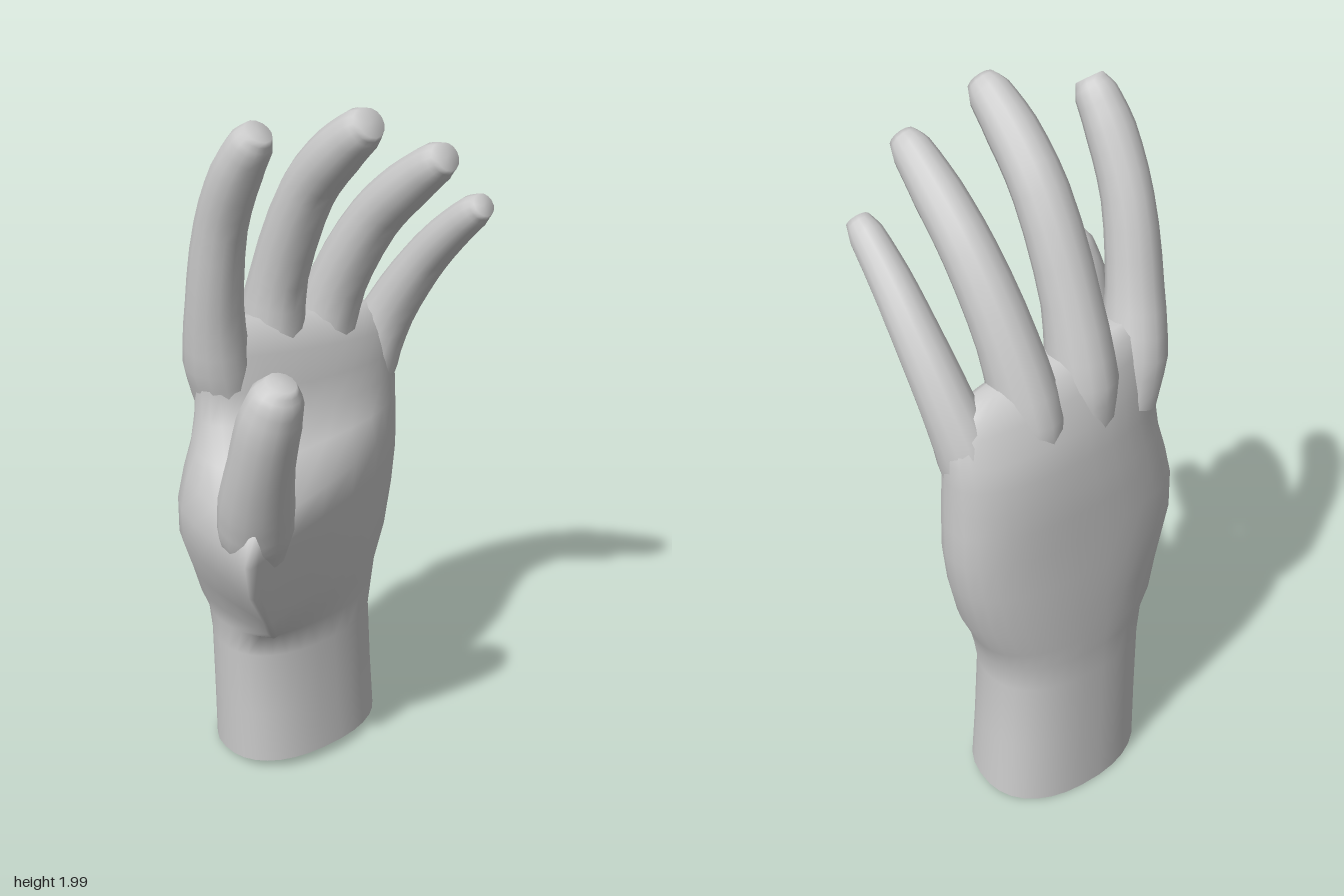
import * as THREE from 'three';

// double sided because the wrist is an open cut
const material = new THREE.MeshStandardMaterial({ color: 0xcccccc, side: THREE.DoubleSide });
const { lerp, smoothstep } = THREE.MathUtils;

// Skin a stack of closed rings of points, left open at the start and rounded off at the end.
function loft(name, rings) {
  const n = rings[0].length, last = (rings.length - 1) * n;
  const points = rings.flat(), index = [];
  for (let i = 0; i < last; i += n) {
    for (let j = 0; j < n; j++) {
      const a = i + j, b = i + (j + 1) % n;
      index.push(a, b, b + n, a, b + n, a + n);
    }
  }
  const tip = new THREE.Vector3();
  points.slice(last).forEach(p => tip.addScaledVector(p, 1 / n));
  for (let j = 0; j < n; j++) index.push(points.length, last + j, last + (j + 1) % n);
  const geo = new THREE.BufferGeometry().setFromPoints([...points, tip]);
  geo.setIndex(index);
  geo.computeVertexNormals();
  const mesh = new THREE.Mesh(geo, material);
  mesh.name = name;
  return mesh;
}

// Wrist and palm sections, with one corner of the section pulled out into the mound of the thumb:
// [y, back x at little finger, back x at thumb, front x, z at little finger, z at thumb,
//  mound x, mound z, mound strength]
const palmRows = [
  [0.025, -0.355, -0.355, 0.045, -0.30, 0.23, 0, 0, 0],
  [0.20, -0.345, -0.345, 0.035, -0.29, 0.235, 0, 0, 0],
  [0.40, -0.34, -0.34, 0.03, -0.28, 0.24, 0, 0, 0],
  [0.48, -0.345, -0.335, 0.03, -0.295, 0.255, 0.05, 0.20, 0.3],
  [0.54, -0.35, -0.335, 0.02, -0.315, 0.285, 0.11, 0.24, 1],
  [0.63, -0.355, -0.33, 0.01, -0.36, 0.31, 0.16, 0.30, 1],
  [0.76, -0.355, -0.325, 0.0, -0.395, 0.35, 0.21, 0.38, 1],
  [0.87, -0.355, -0.315, -0.005, -0.41, 0.35, 0.23, 0.405, 1],
  [0.96, -0.355, -0.31, -0.01, -0.41, 0.325, 0.23, 0.39, 1],
  [1.03, -0.35, -0.305, -0.02, -0.41, 0.305, 0.10, 0.33, 0.45],
  [1.11, -0.34, -0.295, -0.035, -0.41, 0.285, 0, 0, 0],
  [1.19, -0.32, -0.285, -0.05, -0.41, 0.28, 0, 0, 0],
  [1.28, -0.28, -0.26, -0.07, -0.405, 0.285, 0, 0, 0],
  [1.335, -0.25, -0.235, -0.095, -0.37, 0.275, 0, 0, 0],
  [1.36, -0.21, -0.20, -0.135, -0.31, 0.23, 0, 0, 0],
];

function makePalm() {
  const sides = 32, skew = -0.14;
  const square = v => Math.sign(v) * Math.abs(v) ** 0.88;
  const bulge = a => Math.max(0, Math.cos(a)) ** 2;
  return loft('palmAndWrist', palmRows.map(([y, backA, backB, front, zA, zB, moundX, moundZ, pull], row) => {
    const ring = [];
    const xMid = ((backA + backB) / 2 + front) / 2;
    // the cut at the wrist is tilted, and the top drops toward the little finger
    const tiltX = row === 0 ? 0.08 : 0, tiltZ = 0.14 * smoothstep(y, 1.05, 1.36);
    for (let j = 0; j < sides; j++) {
      const a = j / sides * Math.PI * 2, c = square(Math.cos(a));
      const t = (1 - square(Math.sin(a + skew))) / 2;
      const x = lerp(lerp(xMid, c > 0 ? front : lerp(backA, backB, t), Math.abs(c)), moundX, pull * bulge(a + 0.55));
      const z = lerp(lerp(zA, zB, t), moundZ, pull * bulge(a + 0.8));
      ring.push(new THREE.Vector3(x, y + tiltX * (x + 0.15) + tiltZ * z, z));
    }
    return ring;
  }));
}

// A digit: oval sections along a smooth path of [x, y, z, radius, depth if not round].
function makeDigit(name, stations) {
  const sides = 14, steps = (stations.length - 1) * 3;
  const curve = new THREE.CatmullRomCurve3(stations.map(s => new THREE.Vector3(s[0], s[1], s[2])));
  const rings = [];
  for (let i = 0; i <= steps; i++) {
    const k = Math.min(Math.floor(i / 3), stations.length - 2), f = i / 3 - k;
    const [, , , r0, d0 = r0] = stations[k], [, , , r1, d1 = r1] = stations[k + 1];
    const width = lerp(r0, r1, f), depth = lerp(d0, d1, f);
    const centre = curve.getPoint(i / steps), tangent = curve.getTangent(i / steps);
    const normal = new THREE.Vector3().crossVectors(tangent, new THREE.Vector3(0, 0, 1)).normalize();
    const side = new THREE.Vector3().crossVectors(normal, tangent);
    const ring = [];
    for (let j = 0; j < sides; j++) {
      const a = j / sides * Math.PI * 2;
      ring.push(centre.clone()
        .addScaledVector(normal, Math.cos(a) * depth)
        .addScaledVector(side, -Math.sin(a) * width));
    }
    rings.push(ring);
  }
  return loft(name, rings);
}

// The first sections are buried in the palm and deep, so the knuckles run out of it smoothly.
const digits = {
  indexFinger: [
    [-0.178, 1.14, 0.185, 0.075, 0.095], [-0.172, 1.27, 0.21, 0.09, 0.1], [-0.14, 1.45, 0.235, 0.077, 0.08],
    [-0.085, 1.68, 0.247, 0.068, 0.073], [-0.01, 1.84, 0.247, 0.067], [0.045, 1.925, 0.24, 0.057],
    [0.068, 1.96, 0.235, 0.038],
  ],
  middleFinger: [
    [-0.20, 1.14, 0.02, 0.075, 0.095], [-0.192, 1.27, 0.02, 0.092, 0.108], [-0.15, 1.48, 0.015, 0.078, 0.082],
    [-0.035, 1.74, 0.005, 0.075], [0.08, 1.87, 0.0, 0.07], [0.165, 1.944, -0.008, 0.058],
    [0.2, 1.968, -0.01, 0.04],
  ],
  ringFinger: [
    [-0.20, 1.09, -0.148, 0.075, 0.095], [-0.197, 1.22, -0.157, 0.09, 0.108], [-0.14, 1.42, -0.18, 0.08, 0.084],
    [-0.02, 1.625, -0.205, 0.073], [0.10, 1.745, -0.215, 0.067], [0.205, 1.83, -0.222, 0.054],
    [0.243, 1.853, -0.225, 0.038],
  ],
  littleFinger: [
    [-0.19, 1.03, -0.315, 0.072, 0.085], [-0.182, 1.15, -0.332, 0.08, 0.095], [-0.125, 1.30, -0.36, 0.071, 0.075],
    [-0.02, 1.46, -0.378, 0.063], [0.075, 1.567, -0.383, 0.056], [0.17, 1.655, -0.388, 0.047],
    [0.208, 1.684, -0.39, 0.033],
  ],
  thumb: [
    [0.105, 0.84, 0.29, 0.085], [0.13, 0.92, 0.308, 0.102], [0.165, 1.02, 0.328, 0.101],
    [0.222, 1.16, 0.352, 0.087], [0.265, 1.29, 0.357, 0.083], [0.292, 1.37, 0.352, 0.069],
    [0.306, 1.41, 0.35, 0.04],
  ],
};

export function createModel() {
  const hand = new THREE.Group();
  hand.name = 'hand';
  hand.add(makePalm());
  for (const [name, stations] of Object.entries(digits)) hand.add(makeDigit(name, stations));
  return hand;
}
